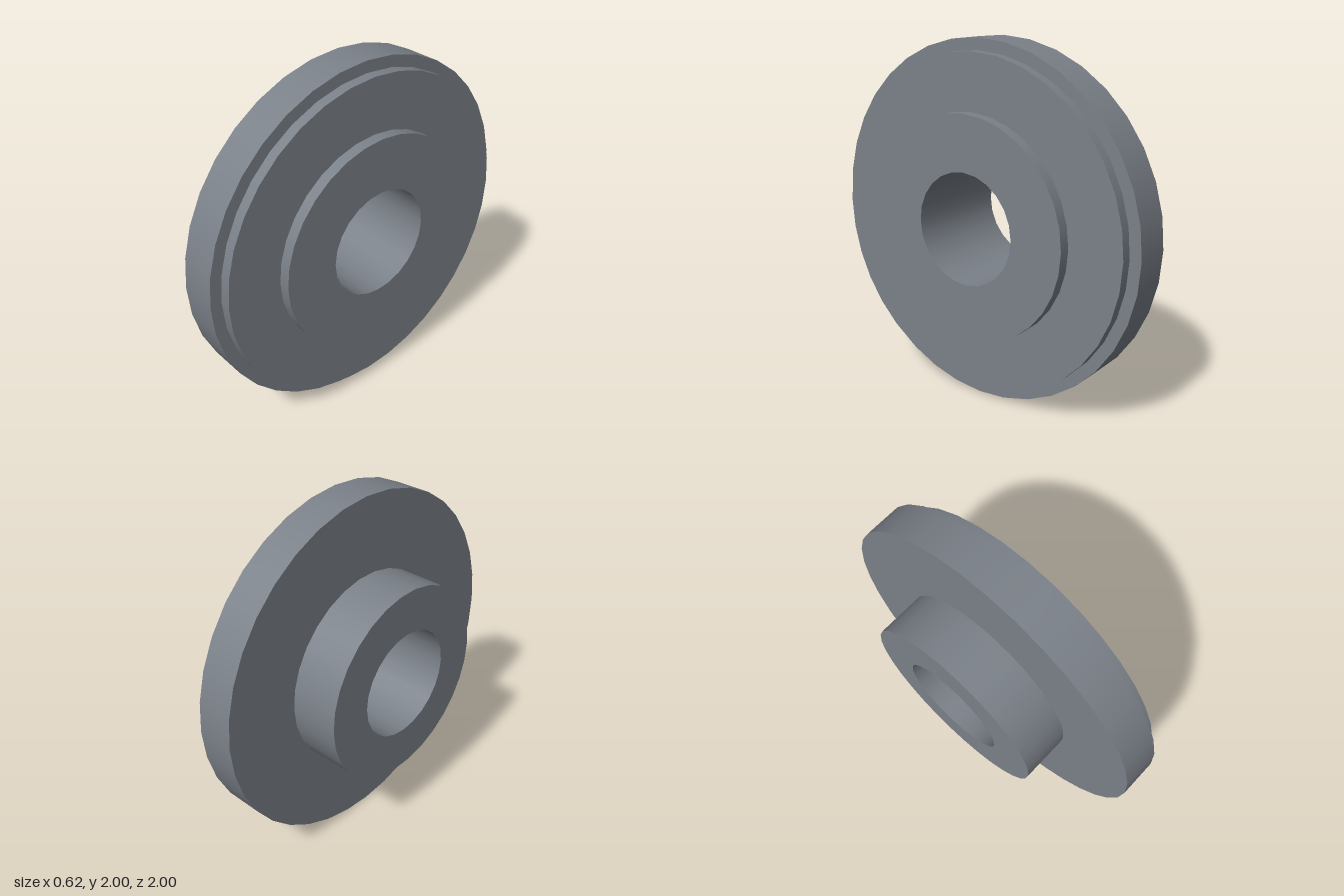
import * as THREE from 'three';

const material = new THREE.MeshStandardMaterial({ color: 0x7b8189 });
const AXIS_Y = 1; // height of the turning axis, which runs along x

// Regular polygon standing in for a circle
function ringPoints({ r, n }) {
  return Array.from({ length: n }, (_, i) => {
    const a = (i / n) * Math.PI * 2;
    return new THREE.Vector2(r * Math.cos(a), r * Math.sin(a));
  });
}

// Cylindrical surface from x0 to x1; faces inward when x0 > x1
function wall({ r, n }, x0, x1) {
  const profile = [new THREE.Vector2(r, x0), new THREE.Vector2(r, x1)];
  return new THREE.LatheGeometry(profile, n).rotateZ(-Math.PI / 2);
}

// Flat annulus at x, facing +x (dir 1) or -x (dir -1)
function annulus(outer, inner, x, dir) {
  const shape = new THREE.Shape(ringPoints(outer));
  shape.holes.push(new THREE.Path(ringPoints(inner)));
  return new THREE.ShapeGeometry(shape).rotateY((dir * Math.PI) / 2).translate(x, 0, 0);
}

export function createModel() {
  const group = new THREE.Group();
  const add = (name, geometry) => {
    const mesh = new THREE.Mesh(geometry, material);
    mesh.name = name;
    mesh.position.y = AXIS_Y;
    group.add(mesh);
  };

  // Radii and side counts of the turned diameters
  const bore = { r: 0.313, n: 24 };
  const hub = { r: 0.563, n: 30 };
  const flange = { r: 1, n: 36 };
  const step = { r: 0.935, n: 36 };
  const boss = { r: 0.623, n: 32 };

  // Stations along the axis
  const xHub = -0.311, xFlange = -0.03, xStep = 0.187, xBoss = 0.247, xEnd = 0.311;

  // Hub
  add('hubEndFace', annulus(hub, bore, xHub, -1));
  add('hubWall', wall(hub, xHub, xFlange));

  // Flange
  add('flangeBackFace', annulus(flange, hub, xFlange, -1));
  add('flangeRim', wall(flange, xFlange, xStep));
  add('flangeShoulder', annulus(flange, step, xStep, 1));

  // Locating step
  add('stepWall', wall(step, xStep, xBoss));
  add('stepFace', annulus(step, boss, xBoss, 1));

  // Raised boss
  add('bossWall', wall(boss, xBoss, xEnd));
  add('bossEndFace', annulus(boss, bore, xEnd, 1));

  // Through bore
  add('bore', wall(bore, xEnd, xHub));

  return group;
}
